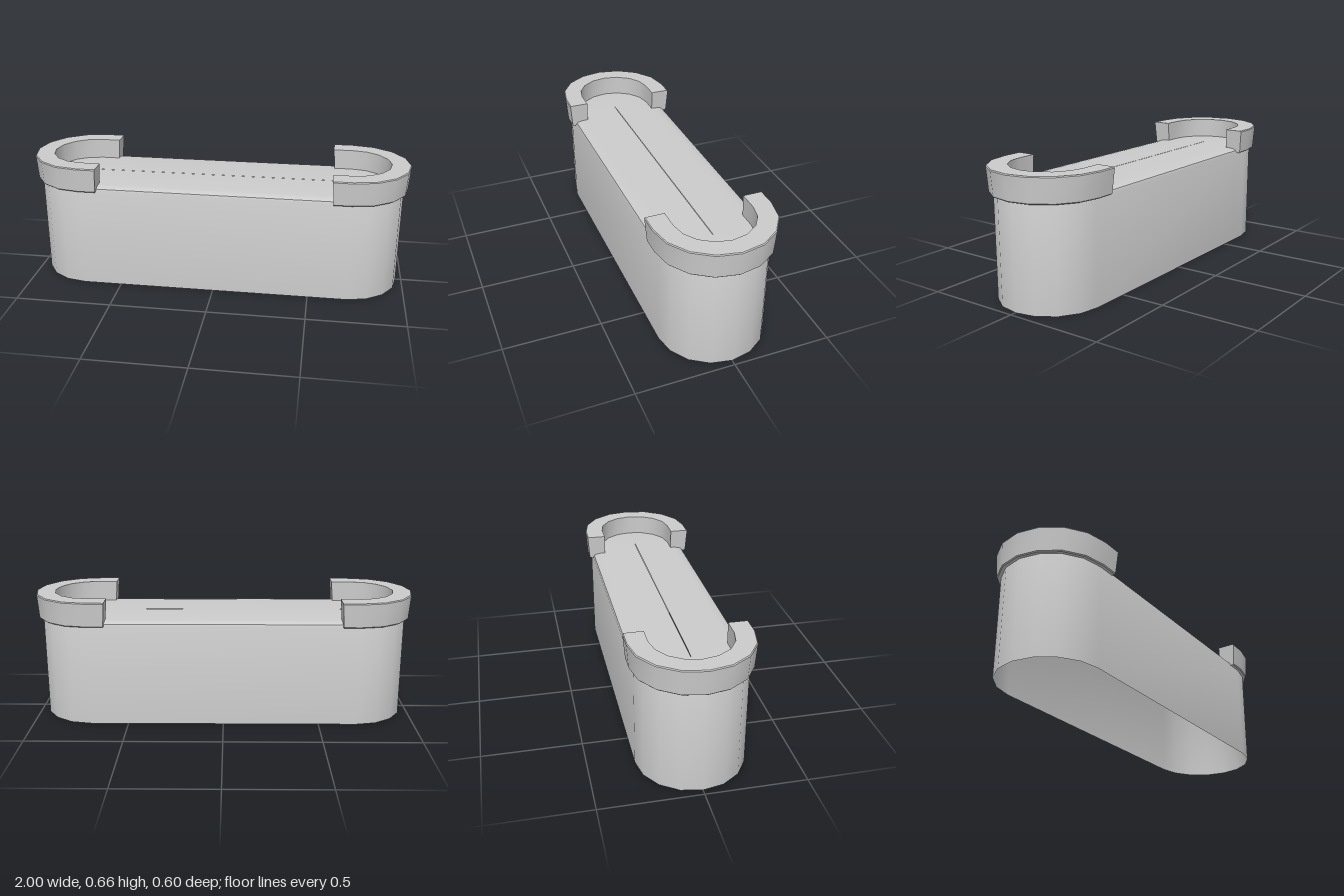
import * as THREE from 'three';
import { toCreasedNormals } from 'three/addons/utils/BufferGeometryUtils.js';

const ARC = 8;          // segments in each half-round end
const CENTRE = 0.7;     // x of the half-round centres

// Skin between equal-length loops of points; optionally closed and capped
function loft(rings, { wrapRings = false, wrapPoints = false, caps = false } = {}) {
  const n = rings[0].length, m = rings.length;
  const index = [];
  for (let i = 0; i < (wrapRings ? m : m - 1); i++) {
    for (let j = 0; j < (wrapPoints ? n : n - 1); j++) {
      const i2 = (i + 1) % m, j2 = (j + 1) % n;
      const a = i * n + j, up = i * n + j2, along = i2 * n + j, both = i2 * n + j2;
      index.push(a, up, along, up, both, along);
    }
  }
  if (caps) {
    const last = (m - 1) * n;
    for (let j = 1; j < n - 1; j++) {
      index.push(0, j + 1, j, last, last + j, last + j + 1);
    }
  }
  const geo = new THREE.BufferGeometry();
  geo.setAttribute('position', new THREE.Float32BufferAttribute(rings.flat(2), 3));
  geo.setIndex(index);
  return toCreasedNormals(geo, 0.6);
}

function addMesh(parent, name, geometry, side = THREE.FrontSide) {
  const mesh = new THREE.Mesh(geometry, new THREE.MeshStandardMaterial({ color: 0xcccccc, side }));
  mesh.name = name;
  parent.add(mesh);
  return mesh;
}

export function createModel() {
  const model = new THREE.Group();
  model.name = 'longPlanter';

  // Body: stadium-shaped shell, open below, with a softly rounded top edge
  const bodyProfile = [[0.27, 0], [0.27, 0.53], [0.265, 0.542], [0.25, 0.55], [0.22, 0.554], [0.001, 0.555]];
  const body = [];
  for (const end of [1, -1]) {
    for (let k = 0; k <= ARC; k++) {
      const a = -Math.PI / 2 + (k / ARC) * Math.PI;
      body.push(bodyProfile.map(([r, y]) =>
        [end * (CENTRE + r * Math.cos(a)), y, end * r * Math.sin(a)]));
    }
  }
  addMesh(model, 'body', loft(body, { wrapRings: true }), THREE.DoubleSide);

  // Raised rim: flared U-shaped collar with chamfered outer edges
  const section = [[0.286, 0.53], [0.291, 0.535], [0.3, 0.655], [0.296, 0.66], [0.2, 0.66], [0.2, 0.53]];
  const rim = [];
  const endStation = (s) => section.map(([r, y]) => [0.6 + 0.07 * (0.66 - y), y, s * r]);
  rim.push(endStation(-1));
  for (let k = 0; k <= ARC; k++) {
    const a = -Math.PI / 2 + (k / ARC) * Math.PI;
    rim.push(section.map(([r, y]) => [CENTRE + r * Math.cos(a), y, r * Math.sin(a)]));
  }
  rim.push(endStation(1));
  const rimGeometry = loft(rim, { wrapPoints: true, caps: true });
  addMesh(model, 'leftRim', rimGeometry);
  addMesh(model, 'rightRim', rimGeometry).rotation.y = Math.PI;

  return model;
}
